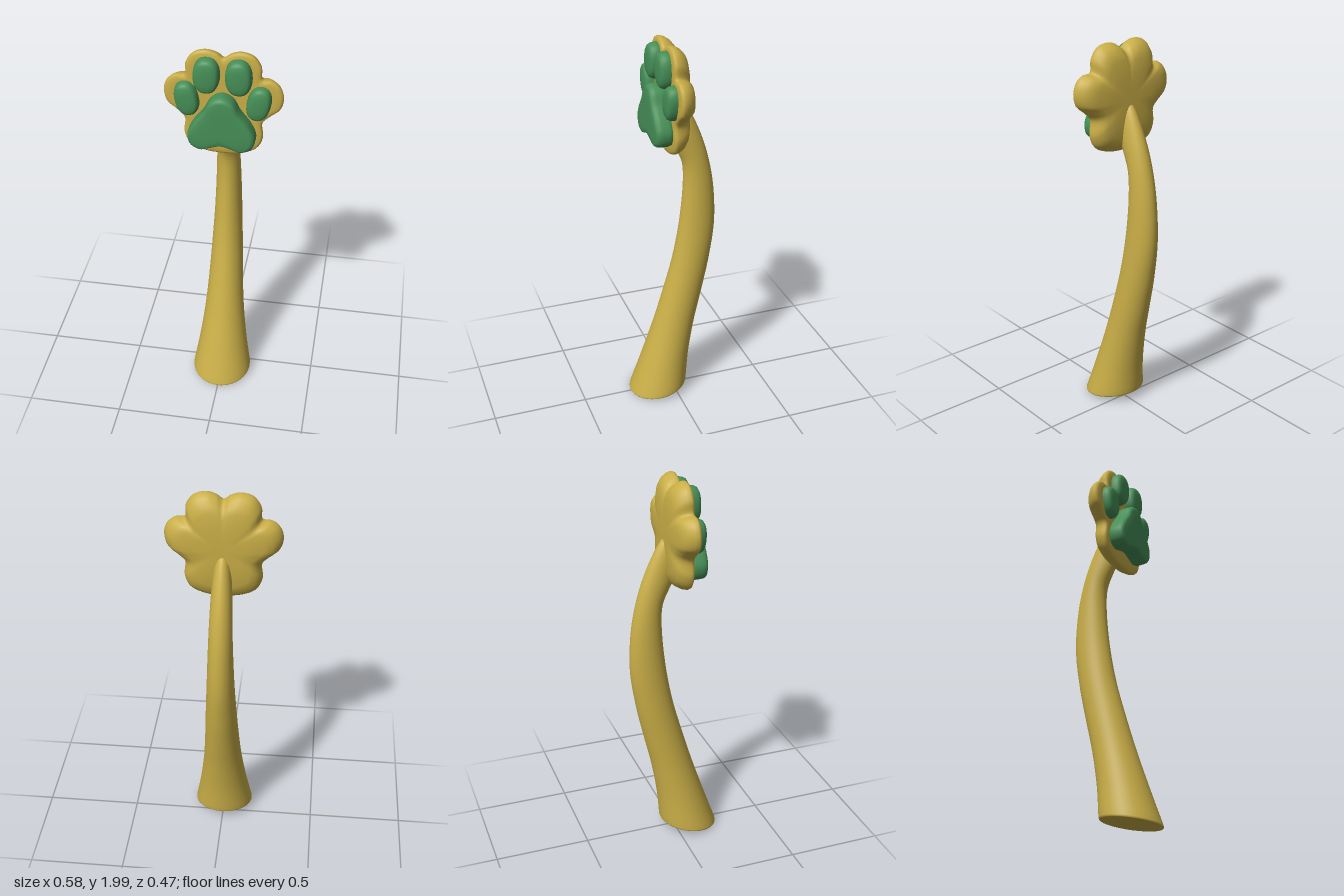
import * as THREE from 'three';

// Closed smooth skin through rings of equal point counts, with a fan at each end
function loft(rings) {
  const n = rings[0].length, pos = [], idx = [];
  const push = (p) => pos.push(p.x, p.y, p.z);
  const centre = (r) => r.reduce((s, p) => s.add(p), new THREE.Vector3()).divideScalar(n);
  rings.forEach((r) => r.forEach(push));
  push(centre(rings[0]));
  push(centre(rings[rings.length - 1]));
  const start = rings.length * n, last = (rings.length - 1) * n;
  for (let j = 0; j < n; j++) {
    const k = (j + 1) % n;
    for (let i = 0; i < rings.length - 1; i++) {
      const a = i * n + j, b = i * n + k, c = a + n, d = b + n;
      idx.push(a, b, d, a, d, c);
    }
    idx.push(start, k, j, start + 1, last + j, last + k);
  }
  const g = new THREE.BufferGeometry();
  g.setAttribute('position', new THREE.Float32BufferAttribute(pos, 3));
  g.setIndex(idx);
  g.computeVertexNormals();
  return g;
}

// Mirrors the +x half of an outline (bottom centre to top centre) into a closed smooth loop
function symmetricOutline(half, count) {
  const right = half.map(([x, y]) => new THREE.Vector3(x, y, 0));
  const left = right.slice(1, -1).reverse().map((p) => new THREE.Vector3(-p.x, p.y, 0));
  return new THREE.CatmullRomCurve3([...right, ...left], true, 'centripetal').getPoints(count).slice(0, -1);
}

// Cushion: an outline scaled about (cx, cy) at successive depths [scale, z]
function cushion(outline, cx, cy, profile) {
  return loft(profile.map(([s, z]) => outline.map(
    (p) => new THREE.Vector3(cx + (p.x - cx) * s, cy + (p.y - cy) * s, z))));
}

export function createModel() {
  const model = new THREE.Group();
  const gold = new THREE.MeshStandardMaterial({ color: 0xc9ae47 });
  gold.name = 'gold';
  const green = new THREE.MeshStandardMaterial({ color: 0x468f57 });
  green.name = 'green';
  const add = (name, geometry, material) => {
    const m = new THREE.Mesh(geometry, material);
    m.name = name;
    model.add(m);
    return m;
  };

  // Curved handle: front y, front z, back y, back z, half width
  const sections = [
    [0.005, 0.24, 0.055, -0.075, 0.16],
    [0.2, 0.172, 0.23, -0.092, 0.129],
    [0.4, 0.105, 0.42, -0.125, 0.105],
    [0.6, 0.045, 0.6, -0.167, 0.091],
    [0.8, -0.009, 0.79, -0.208, 0.081],
    [1.0, -0.045, 1.0, -0.236, 0.071],
    [1.2, -0.065, 1.22, -0.226, 0.063],
    [1.34, -0.062, 1.41, -0.187, 0.057],
    [1.43, -0.025, 1.57, -0.128, 0.052],
    [1.47, 0.0, 1.69, -0.06, 0.045],
    [1.5, 0.01, 1.71, 0.0, 0.04],
  ];
  const curve = (f) => new THREE.CatmullRomCurve3(sections.map(f), false, 'catmullrom');
  const front = curve((s) => new THREE.Vector3(0, s[0], s[1]));
  const back = curve((s) => new THREE.Vector3(0, s[2], s[3]));
  const width = curve((s) => new THREE.Vector3(s[4], 0, 0));
  const handleRing = (t, scale = 1) => {
    const f = front.getPoint(t), b = back.getPoint(t), w = width.getPoint(t).x * scale;
    const c = f.clone().add(b).multiplyScalar(0.5);
    const d = b.sub(c).multiplyScalar(scale);
    return Array.from({ length: 48 }, (_, j) => {
      const a = (j / 48) * Math.PI * 2;
      return c.clone().addScaledVector(d, Math.sin(a)).add(new THREE.Vector3(w * Math.cos(a), 0, 0));
    });
  };
  // Flat foot with a small rounded edge
  const handleRings = [handleRing(0, 0.5), handleRing(0, 0.95), handleRing(0, 0.97),
    handleRing(0.002, 0.99), handleRing(0.006)];
  for (let i = 1; i <= 60; i++) handleRings.push(handleRing(0.006 + 0.994 * (i / 60)));
  add('handle', loft(handleRings), gold);

  // Paw body with four toe lobes, domed at the back
  const paw = symmetricOutline([
    [0, 1.44], [0.095, 1.45], [0.165, 1.485], [0.193, 1.545], [0.19, 1.63], [0.228, 1.673],
    [0.275, 1.715], [0.289, 1.775], [0.272, 1.83], [0.235, 1.86], [0.187, 1.868], [0.18, 1.93],
    [0.145, 1.982], [0.085, 2.0], [0.035, 1.987], [0, 1.964],
  ], 192);
  add('pawBody', cushion(paw, 0, 1.72, [
    [0.2, -0.057], [0.45, -0.056], [0.7, -0.05], [0.84, -0.037], [0.93, -0.016], [0.982, 0.008],
    [1, 0.027], [0.988, 0.037], [0.95, 0.043], [0.86, 0.046], [0.5, 0.046],
  ]), gold);

  // Large central pad
  const palm = symmetricOutline([
    [0, 1.53], [0.055, 1.516], [0.105, 1.503], [0.15, 1.525], [0.165, 1.58], [0.14, 1.64],
    [0.088, 1.71], [0.052, 1.772], [0, 1.796],
  ], 128);
  add('palmPad', cushion(palm, 0, 1.62, [
    [0.9, 0.035], [0.97, 0.045], [1, 0.06], [1, 0.095], [0.985, 0.112], [0.94, 0.123],
    [0.86, 0.129], [0.6, 0.131], [0.3, 0.131],
  ]), green);

  // Toe pads, mirrored left and right
  const oval = (rx, ry) => Array.from({ length: 48 }, (_, j) => {
    const a = (j / 48) * Math.PI * 2, c = Math.cos(a), s = Math.sin(a);
    return new THREE.Vector3(rx * Math.sign(c) * Math.abs(c) ** 0.88, ry * Math.sign(s) * Math.abs(s) ** 0.88, 0);
  });
  const toeProfile = [[0.92, 0.03], [1, 0.045], [0.995, 0.06], [0.96, 0.077], [0.88, 0.089],
    [0.74, 0.096], [0.45, 0.099], [0.2, 0.1]];
  for (const [side, sign] of [['left', 1], ['right', -1]]) {
    const inner = add(side + 'InnerToePad', cushion(oval(0.064, 0.091), 0, 0, toeProfile), green);
    inner.position.set(sign * 0.077, 1.883, 0);
    inner.rotation.z = sign * 0.03;
    const outer = add(side + 'OuterToePad', cushion(oval(0.058, 0.09), 0, 0, toeProfile), green);
    outer.position.set(sign * 0.174, 1.75, -0.007);
    outer.rotation.z = -sign * 0.2;
  }
  return model;
}
